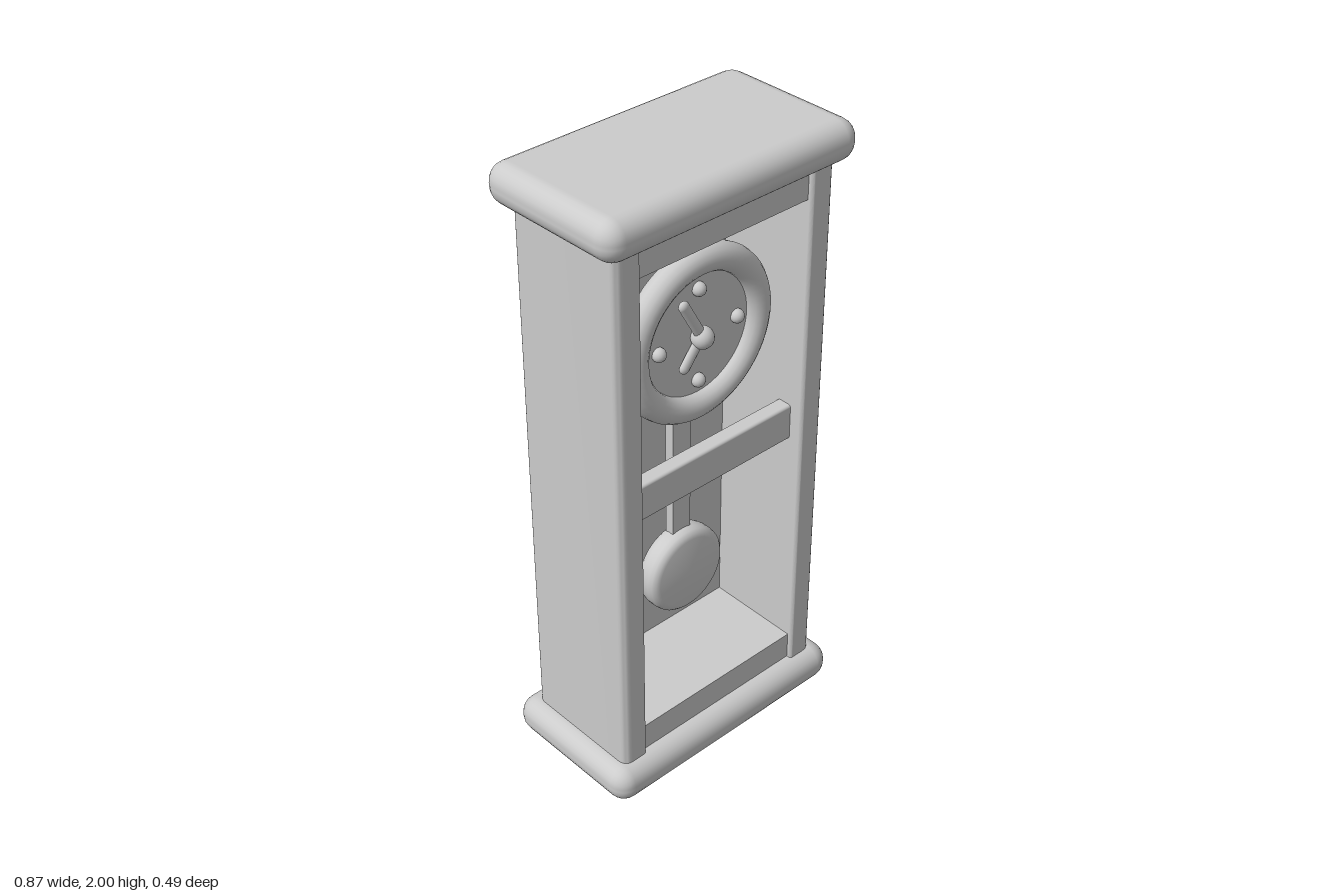
import * as THREE from 'three';
import { toCreasedNormals } from 'three/addons/utils/BufferGeometryUtils.js';
import { RoundedBoxGeometry } from 'three/addons/geometries/RoundedBoxGeometry.js';

export function createModel() {
  const clock = new THREE.Group();
  clock.name = 'pendulumClock';
  const grey = new THREE.MeshStandardMaterial({ color: 0xcccccc });

  const add = (name, geometry, x = 0, y = 0, z = 0) => {
    const mesh = new THREE.Mesh(geometry, grey);
    mesh.name = name;
    mesh.position.set(x, y, z);
    clock.add(mesh);
    return mesh;
  };
  const lathe = (points, sides) => toCreasedNormals(
    new THREE.LatheGeometry(points.map(([r, y]) => new THREE.Vector2(r, y)), sides), 0.7);

  // Top and bottom slabs with fully rounded rims
  add('crown', new RoundedBoxGeometry(0.874, 0.12, 0.49, 3, 0.055), 0, 1.94, 0);
  add('base', new RoundedBoxGeometry(0.874, 0.12, 0.49, 3, 0.055), 0, 0.13, 0);

  // Case: U-shaped plan, open at the front, extruded upward (plan y is -z)
  const w = 0.385, front = -0.2, back = 0.195, inner = 0.3, wall = 0.12, r = 0.03;
  const plan = new THREE.Shape();
  plan.moveTo(-w + r, front);
  plan.lineTo(-inner - 0.01, front);
  plan.quadraticCurveTo(-inner, front, -inner, front + 0.01);
  plan.lineTo(-inner, wall);
  plan.lineTo(inner, wall);
  plan.lineTo(inner, front + 0.01);
  plan.quadraticCurveTo(inner, front, inner + 0.01, front);
  plan.lineTo(w - r, front);
  plan.quadraticCurveTo(w, front, w, front + r);
  plan.lineTo(w, back - r);
  plan.quadraticCurveTo(w, back, w - r, back);
  plan.lineTo(-w + r, back);
  plan.quadraticCurveTo(-w, back, -w, back - r);
  plan.lineTo(-w, front + r);
  plan.quadraticCurveTo(-w, front, -w + r, front);
  const caseGeometry = new THREE.ExtrudeGeometry(plan, { depth: 1.73, bevelEnabled: false, curveSegments: 6 });
  caseGeometry.rotateX(-Math.PI / 2);
  add('case', toCreasedNormals(caseGeometry, 0.7), 0, 0.17, 0);

  // Header, floor and middle rail between the side walls
  add('header', new THREE.BoxGeometry(0.61, 0.1, 0.31), 0, 1.84, 0.03);
  add('floor', new THREE.BoxGeometry(0.61, 0.11, 0.31), 0, 0.225, 0.03);
  add('middleRail', new RoundedBoxGeometry(0.62, 0.116, 0.05, 2, 0.008), 0, 1.064, 0.13);

  // Dial with its ring and four hour markers
  const dialY = 1.457;
  add('dial', new THREE.CylinderGeometry(0.225, 0.225, 0.05, 48).rotateX(Math.PI / 2), 0, dialY, 0.06);
  add('dialRing', new THREE.TorusGeometry(0.224, 0.041, 16, 56), 0, dialY, 0.08);
  for (let i = 0; i < 4; i++) {
    const a = i * Math.PI / 2;
    add('hourMarker', new THREE.SphereGeometry(0.021, 16, 12),
      0.143 * Math.cos(a), dialY + 0.143 * Math.sin(a), 0.09);
  }

  // Hands: flattened rounded bars from the hub to their tips
  const addHand = (name, tipX, tipY, z) => {
    const length = Math.hypot(tipX, tipY);
    const hand = add(name, new THREE.CapsuleGeometry(0.017, length, 6, 12),
      tipX / 2, dialY + tipY / 2, z);
    hand.scale.z = 0.7;
    hand.rotation.z = Math.atan2(-tipX, tipY);
  };
  addHand('minuteHand', -0.068, 0.122, 0.105);
  addHand('hourHand', -0.06, -0.075, 0.1);
  add('handHub', new THREE.SphereGeometry(0.033, 20, 14), 0, dialY, 0.105);

  // Pendulum rod and round-edged bob
  add('pendulumRod', new THREE.BoxGeometry(0.068, 0.66, 0.03), 0, 1.0, 0.01);
  const bob = lathe([[0, -0.04], [0.115, -0.04], [0.128, -0.036], [0.137, -0.026], [0.14, -0.012],
    [0.14, 0.012], [0.137, 0.026], [0.128, 0.036], [0.115, 0.04], [0, 0.04]], 48);
  add('pendulumBob', bob.rotateX(Math.PI / 2), 0, 0.623, 0.02);

  // Tapered feet
  const foot = lathe([[0, 0], [0.022, 0], [0.034, 0.01], [0.052, 0.065], [0.052, 0.085], [0, 0.085]], 12);
  for (const x of [-0.283, 0.283]) for (const z of [-0.13, 0.13]) add('foot', foot, x, 0, z);

  return clock;
}
